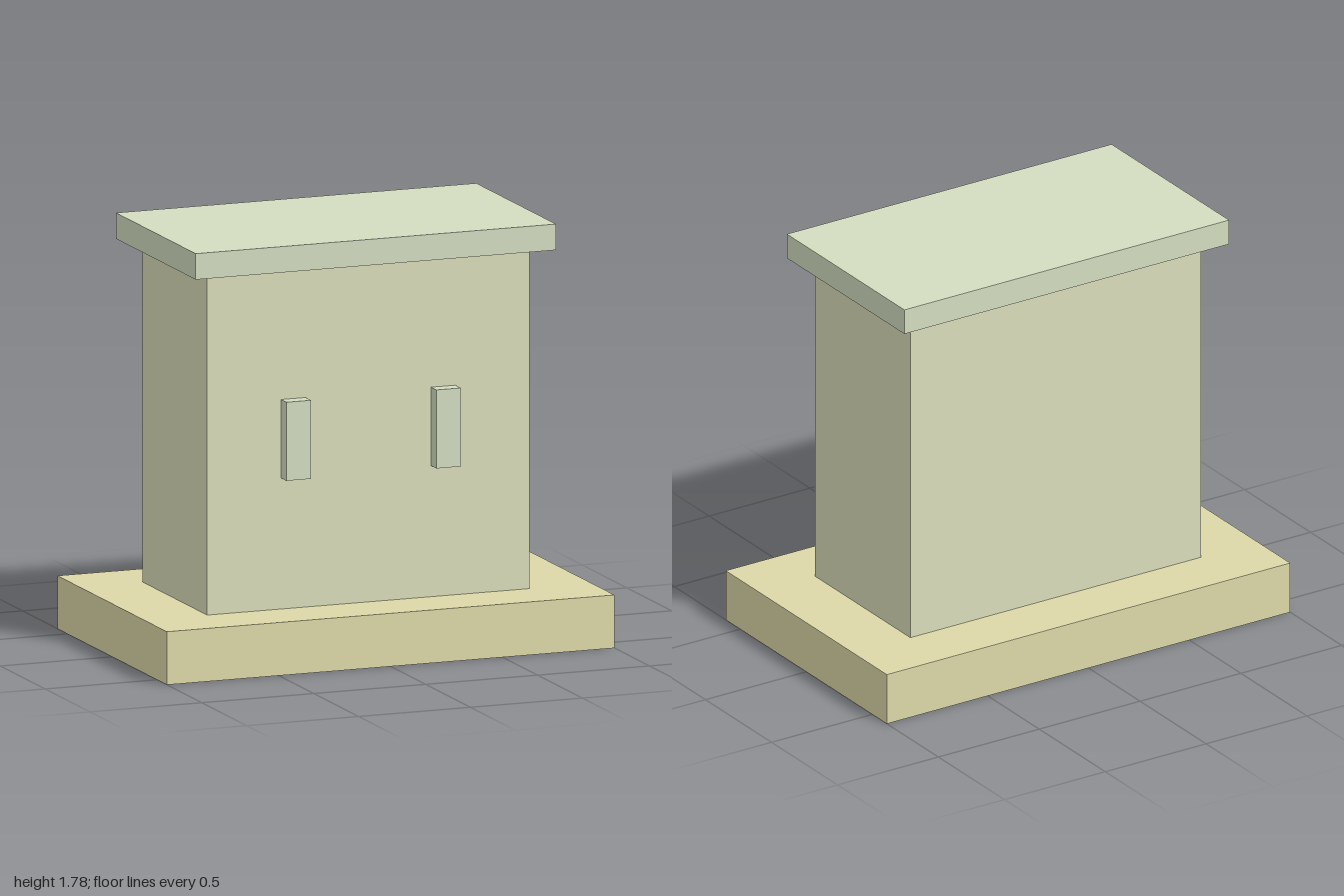
import * as THREE from 'three';

export function createModel() {
  const model = new THREE.Group();
  const material = (color) => new THREE.MeshStandardMaterial({ color });
  const baseColor = material(0xddd8a8);
  const bodyColor = material(0xdadcba);
  const trimColor = material(0xd3dcc0);

  // Box given by its size, its bottom height and its centre in x and z
  function addBox(name, mat, [w, h, d], bottom, x = 0, z = 0) {
    const mesh = new THREE.Mesh(new THREE.BoxGeometry(w, h, d), mat);
    mesh.name = name;
    mesh.position.set(x, bottom + h / 2, z);
    model.add(mesh);
  }

  // Wide plinth, cabinet body and overhanging top slab
  addBox('base', baseColor, [2, 0.225, 1.22], 0);
  addBox('body', bodyColor, [1.44, 1.445, 0.72], 0.225);
  addBox('topSlab', trimColor, [1.61, 0.11, 0.89], 1.67);

  // Pair of upright handles on the front
  for (const [name, side] of [['leftHandle', 1], ['rightHandle', -1]]) {
    addBox(name, trimColor, [0.11, 0.333, 0.06], 0.78, side * 0.335, 0.39);
  }

  return model;
}
